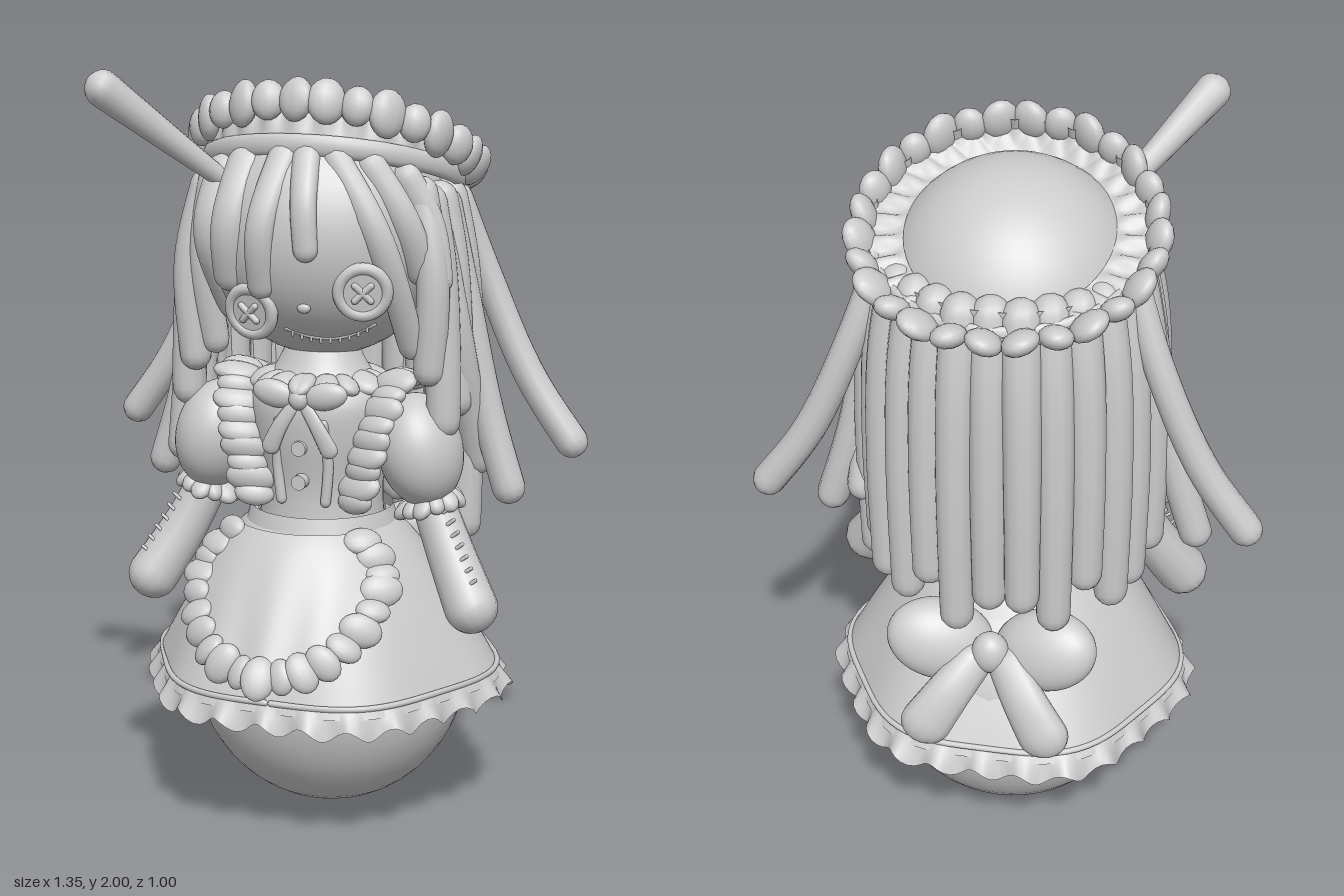
import * as THREE from 'three';
import { mergeGeometries, mergeVertices } from 'three/addons/utils/BufferGeometryUtils.js';
import { ParametricGeometry } from 'three/addons/geometries/ParametricGeometry.js';

const V = (x, y, z) => new THREE.Vector3(x, y, z);
const grey = new THREE.MeshStandardMaterial({ color: 0xcccccc, side: THREE.DoubleSide });
grey.name = 'clay grey';
const TAU = Math.PI * 2;

// Round-ended tube through points, radius going from r0 to r1, rings packed towards the ends
function noodle(pts, r0, r1, seg = 28, flat = 1) {
  const curve = new THREE.CatmullRomCurve3(pts), L = curve.getLength();
  const g = new THREE.TubeGeometry(curve, seg, 1, 12, false), p = g.attributes.position, v = V(0, 0, 0);
  for (let i = 0; i <= seg; i++) {
    const t = 0.5 - 0.5 * Math.cos(Math.PI * i / seg), c0 = curve.getPointAt(i / seg), c = curve.getPointAt(t);
    const base = r0 + (r1 - r0) * t;
    const s = Math.min(1, Math.min(t, 1 - t) * L / base), r = base * Math.sqrt(1 - (1 - s) ** 2);
    for (let j = 0; j <= 12; j++) {
      const k = i * 13 + j;
      v.fromBufferAttribute(p, k).sub(c0).multiplyScalar(r);
      v.z *= flat;
      v.add(c);
      p.setXYZ(k, v.x, v.y, v.z);
    }
  }
  g.deleteAttribute('normal'); g.deleteAttribute('uv');
  const m = mergeVertices(g, 1e-5);
  m.computeVertexNormals();
  return m;
}

// Frill: a row of flat petals along the points, each reaching in the direction outOf(point, index)
function petals(points, outOf, width, reach, thick) {
  return mergeGeometries(points.map((p, i) => {
    const out = outOf(p, i).normalize();
    const tan = points[Math.min(i + 1, points.length - 1)].clone().sub(points[Math.max(i - 1, 0)]);
    tan.addScaledVector(out, -tan.dot(out)).normalize();
    const k = 1 + 0.12 * Math.sin(i * 2.7), turn = 0.3 * (i % 2 ? 1 : -1);
    const m = new THREE.Matrix4().makeBasis(tan, out, tan.clone().cross(out)).setPosition(p);
    return new THREE.SphereGeometry(1, 14, 10).scale(width * k, reach * k, thick).rotateY(turn).applyMatrix4(m);
  }));
}

const sheet = (fn, nu, nv) => new ParametricGeometry((u, v, out) => out.copy(fn(u, v)), nu, nv);
const along = (pts, n) => new THREE.CatmullRomCurve3(pts).getSpacedPoints(n);
const loop = (n, fn) => Array.from({ length: n + 1 }, (_, i) => fn(i / n * TAU));

export function createModel() {
  const model = new THREE.Group();
  const add = (name, geo, parent = model) => {
    const m = new THREE.Mesh(geo, grey);
    m.name = name;
    parent.add(m);
    return m;
  };
  const ball = (name, x, y, z, sx, sy, sz, detail = 40) => {
    const m = add(name, new THREE.SphereGeometry(1, detail, Math.round(detail * 0.7)));
    m.position.set(x, y, z);
    m.scale.set(sx, sy, sz);
    return m;
  };

  // Round base and head
  ball('baseBall', 0, 0.4, -0.04, 0.38, 0.4, 0.37);
  const head = V(0, 1.585, 0);
  ball('head', 0, head.y, 0, 0.325, 0.33, 0.325);
  const onFace = (x, y, off = 0) => {
    const d = V(x, y - head.y, Math.sqrt(0.325 ** 2 - x * x - (y - head.y) ** 2)).normalize();
    return d.multiplyScalar(0.325 + off).add(head);
  };

  // Button eyes with crossed stitches
  [[-0.1, 1.41], [0.18, 1.47]].forEach(([x, y]) => {
    const eye = new THREE.Group();
    eye.name = 'buttonEye';
    eye.position.copy(onFace(x, y, 0.015));
    eye.lookAt(eye.position.clone().add(V(x * 1.8, (y - head.y) * 1.2, 1)));
    add('buttonRim', new THREE.TorusGeometry(0.06, 0.016, 10, 32), eye);
    add('buttonDisc', new THREE.CylinderGeometry(0.055, 0.055, 0.04, 28).rotateX(Math.PI / 2).translate(0, 0, -0.01), eye);
    [0.8, -0.8].forEach(a => add('eyeStitch', new THREE.CapsuleGeometry(0.009, 0.055, 4, 8).rotateZ(a).translate(0, 0, 0.013), eye));
    model.add(eye);
  });

  // Stitched mouth and nose
  const mouth = along([onFace(-0.03, 1.36), onFace(0.04, 1.335), onFace(0.11, 1.335), onFace(0.19, 1.37)], 10);
  add('mouth', noodle(mouth, 0.006, 0.006));
  mouth.slice(1, -1).forEach(p => add('mouthStitch', new THREE.CapsuleGeometry(0.004, 0.022, 3, 6).translate(p.x, p.y, p.z + 0.003)));
  const n = onFace(0.04, 1.42);
  ball('nose', n.x, n.y, n.z, 0.018, 0.014, 0.012, 16);

  // Tilted headband with a frill that stands up in front and lies out behind
  const ring = a => V(0.335 * Math.sin(a), 1.73 + 0.09 * Math.cos(a), -0.06 + 0.3 * Math.cos(a));
  const lift = a => {
    const f = (1 + Math.cos(a)) / 2, out = 0.04 * (1 - f);
    return V(out * Math.sin(a), 0.012 + 0.108 * f ** 1.4, out * Math.cos(a) - 0.035 * f * f);
  };
  const frill = (a, v) => {
    const w = 0.012 * v * Math.cos(28 * a);
    return ring(a).addScaledVector(lift(a), v).add(V(w * Math.sin(a), 0, w * Math.cos(a)));
  };
  add('headband', sheet((u, v) => {
    const a = u * TAU, b = v * TAU;
    return ring(a).add(V(Math.sin(a) * 0.014 * Math.cos(b), 0.028 * Math.sin(b), Math.cos(a) * 0.014 * Math.cos(b)));
  }, 72, 12));
  add('headFrill', sheet((u, v) => frill(u * TAU, v), 224, 6));
  // Gathered cloth joining the frill to the crown
  add('frillGather', sheet((u, v) => {
    const a = u * TAU, x = 0.26 * Math.sin(a), z = -0.07 + 0.25 * Math.cos(a);
    const crown = V(x, head.y - 0.005 + Math.sqrt(0.33 ** 2 - x * x - z * z), z);
    const p = frill(a, 0.75).lerp(crown, v);
    p.y += 0.01 * Math.sin(v * Math.PI) * Math.cos(28 * a);
    return p;
  }, 224, 6));
  add('headFrillEdge', petals(loop(28, a => frill(a, 0.92)), (p, i) => lift(i / 28 * TAU), 0.047, 0.055, 0.03));

  // Back and side locks
  for (let i = 0; i < 17; i++) {
    const a = -0.28 + (i / 16) * (Math.PI + 0.56), c = Math.cos(a), s = -Math.sin(a);
    const end = 0.82 + 0.06 * Math.sin(i * 2.4) + (i < 2 || i > 14 ? 0.25 : 0), k = 1 + 0.02 * Math.sin(i * 3.7);
    const at = (r, y) => V(c * r * k, y, s * r * k - 0.01);
    add('backLock', noodle([at(0.3, 1.72), at(0.345, 1.5), at(0.365, 1.2), at(0.365, end)], 0.052, 0.045));
  }
  // Inner layer closing the gaps between the locks
  add('innerHair', sheet((u, v) => {
    const a = u * Math.PI;
    return V(Math.cos(a) * 0.33, 1.7 - 0.75 * v, -Math.sin(a) * 0.34 - 0.01);
  }, 32, 6));

  // Loose locks flaring out on both sides
  for (const s of [-1, 1]) {
    add('flaredLock', noodle([V(s * 0.31, 1.7, -0.12), V(s * 0.39, 1.47, -0.16), V(s * 0.51, 1.2, -0.17), V(s * 0.655, 0.99, -0.17)], 0.037, 0.045));
    add('sideLock', noodle([V(s * 0.31, 1.7, -0.02), V(s * 0.37, 1.4, -0.04), V(s * 0.43, 1.12, -0.05), V(s * 0.505, 0.875, -0.05)], 0.042, 0.045));
    add('lowerSideLock', noodle([V(s * 0.3, 1.65, 0.04), V(s * 0.36, 1.35, 0.03), V(s * 0.4, 0.94, s < 0 ? 0.04 : -0.1)], 0.045, 0.045));
    add('templeLock', noodle([V(s * 0.28, 1.74, 0.1), V(s * 0.33, 1.5, 0.13), V(s * 0.32, 1.21, 0.12)], 0.045, 0.042));
  }

  // Fringe locks: root x, mid x and y, end x and y, radius
  [[-0.25, -0.28, 1.52, -0.26, 1.26, 0.046], [-0.2, -0.23, 1.6, -0.2, 1.36, 0.05], [-0.13, -0.16, 1.62, -0.17, 1.45, 0.05],
    [-0.02, -0.06, 1.62, -0.07, 1.44, 0.042], [0.03, 0.05, 1.68, 0.06, 1.54, 0.038], [0.08, 0.22, 1.6, 0.285, 1.28, 0.042],
    [0.16, 0.27, 1.63, 0.31, 1.47, 0.045], [0.24, 0.32, 1.62, 0.35, 1.45, 0.042]].forEach(([x0, x1, y1, x2, y2, r]) => {
    const z = (x, y) => V(x, y, Math.sqrt(Math.max(0.015, 0.325 ** 2 - x * x - (y - head.y) ** 2)));
    const root = V(x0, 1.82 - 0.9 * x0 * x0, -0.06 + 0.28 * Math.sqrt(1 - (x0 / 0.335) ** 2));
    add('fringeLock', noodle([root, z(x1, y1), z(x2, y2)], r, r * 0.85, 28, 0.7));
  });
  add('raisedLock', noodle([V(-0.18, 1.7, 0.18), V(-0.28, 1.8, 0.27), V(-0.46, 1.985, 0.435)], 0.022, 0.05));

  // Bodice
  const profile = [[0.17, 0.8], [0.165, 0.92], [0.19, 1.06], [0.19, 1.16], [0.13, 1.22], [0.08, 1.32]];
  const curve = new THREE.SplineCurve(profile.map(p => new THREE.Vector2(...p)));
  add('bodice', new THREE.LatheGeometry(curve.getPoints(20), 40).scale(1, 1, 0.92)).position.z = 0.03;
  const collar = loop(15, a => V(0.14 * Math.sin(a), 1.2, 0.04 + 0.14 * Math.cos(a)));
  add('collarFrill', petals(collar, p => V(p.x, -0.05, p.z - 0.04), 0.036, 0.048, 0.022));
  [1.04, 0.95].forEach(y => add('button', new THREE.CylinderGeometry(0.02, 0.02, 0.03, 18).rotateX(Math.PI / 2).translate(0, y, 0.2)));
  ball('neckBowKnot', 0, 1.17, 0.21, 0.026, 0.028, 0.022, 18);
  for (const s of [-1, 1]) {
    ball('neckBowLoop', s * 0.07, 1.18, 0.2, 0.06, 0.036, 0.024, 20).rotation.z = s * 0.2;
    add('neckBowTail', noodle([V(s * 0.01, 1.16, 0.205), V(s * 0.05, 1.1, 0.21), V(s * 0.09, 1.02, 0.2)], 0.016, 0.026, 16, 0.5));
    add('bodicePleat', noodle([V(s * 0.06, 1.12, 0.195), V(s * 0.07, 1, 0.18), V(s * 0.06, 0.88, 0.175)], 0.014, 0.014));
    const strap = along([V(s * 0.22, 1.19, -0.04), V(s * 0.22, 1.21, 0.07), V(s * 0.19, 1.1, 0.15), V(s * 0.14, 0.9, 0.17)], 11);
    add('strapFrill', petals(strap, () => V(s, 0.15, 0.35), 0.038, 0.06, 0.026));

    // Puffed sleeve, cuff and stitched arm
    ball('sleeve', s * 0.285, 1.03, 0.07, 0.11, 0.15, 0.125).rotation.z = s * 0.22;
    const cuff = loop(12, a => V(s * (0.31 + 0.06 * Math.cos(a)), 0.89 + 0.02 * Math.cos(a), 0.06 + 0.06 * Math.sin(a)));
    add('cuffFrill', petals(cuff, p => V(p.x - s * 0.31, -0.04, p.z - 0.06), 0.028, 0.038, 0.022));
    const arm = [V(s * 0.29, 0.95, 0.045), V(s * 0.375, 0.77, 0.09), V(s * 0.48, 0.585, 0.165)];
    add('arm', noodle(arm, 0.054, 0.074));
    along(arm, 13).slice(3, 10).forEach((p, i) => {
      const st = add('armStitch', new THREE.CapsuleGeometry(0.005, 0.035, 3, 6));
      st.position.set(p.x + s * 0.035, p.y + 0.02, p.z + 0.046 + i * 0.001);
      st.rotation.z = s * -0.9;
    });
  }

  // Skirt: angle 0 faces front, t runs from waist to hem
  const skirtR = t => 0.17 + 0.3 * t ** 0.74, skirtZ = t => 0.03 - 0.04 * t;
  const skirt = (a, t, off = 0) => {
    const r = skirtR(t) * (1 - 0.03 * t * Math.cos(6 * a)) + off;
    return V(r * Math.sin(a), 0.84 - 0.44 * t, skirtZ(t) + r * Math.cos(a));
  };
  add('skirt', sheet((u, v) => skirt(u * TAU, v), 108, 20));
  add('hemFrill', sheet((u, v) => {
    const a = u * TAU, p = skirt(a, 0.93 + 0.16 * v, 0.012 * v * Math.cos(26 * a));
    p.y += v * 0.016 * Math.cos(26 * a + 1);
    return p;
  }, 208, 4));
  add('hemPiping', noodle(loop(72, a => skirt(a, 0.94, 0.003)), 0.008, 0.008, 144));

  // Apron following the front of the skirt, with a petalled edge
  const apron = (u, v) => {
    const w = v < 0.4 ? 0.16 + 0.09 * Math.sin(v / 0.4 * Math.PI / 2) : 0.25 * Math.sqrt(Math.max(0, 1 - ((v - 0.4) / 0.6) ** 2));
    const y = 0.82 - 0.32 * v, t = (0.84 - y) / 0.44, r = skirtR(t) + 0.02 + 0.025 * v, x = u * w;
    return V(x - 0.015, y, skirtZ(t) + Math.sqrt(Math.max(0, r * r - x * x)) + 0.006 * v * Math.cos(x * 45));
  };
  add('apron', sheet((u, v) => apron(u * 2 - 1, v), 30, 24));
  const side = [0.06, 0.18, 0.3];
  const edge = side.map(v => apron(1, v));
  for (let i = 0; i <= 14; i++) {
    const a = i / 14 * Math.PI;
    edge.push(apron(Math.cos(a) < 0 ? -1 : 1, 0.4 + 0.6 * Math.sin(a)));
  }
  edge.push(...side.map(v => apron(-1, v)).reverse());
  add('apronFrill', petals(edge, p => {
    const x = p.x + 0.015, y = Math.min(0, p.y - 0.69);
    return V(x, y, -0.6 * Math.abs(x) - 0.6 * y);
  }, 0.04, 0.052, 0.024));
  add('waistband', new THREE.CylinderGeometry(0.19, 0.21, 0.065, 40, 1, true).translate(0, 0.825, 0.03));

  // Large bow at the back
  ball('backBowKnot', 0, 0.68, -0.36, 0.05, 0.06, 0.045, 24);
  for (const s of [-1, 1]) {
    ball('backBowLoop', s * 0.14, 0.68, -0.325, 0.145, 0.11, 0.075).rotation.set(0.4, s * 0.3, s * 0.2);
    add('backBowTail', noodle([V(s * 0.02, 0.68, -0.34), V(s * 0.1, 0.58, -0.42), V(s * 0.19, 0.44, -0.465)], 0.05, 0.075, 24, 0.6));
  }
  return model;
}
